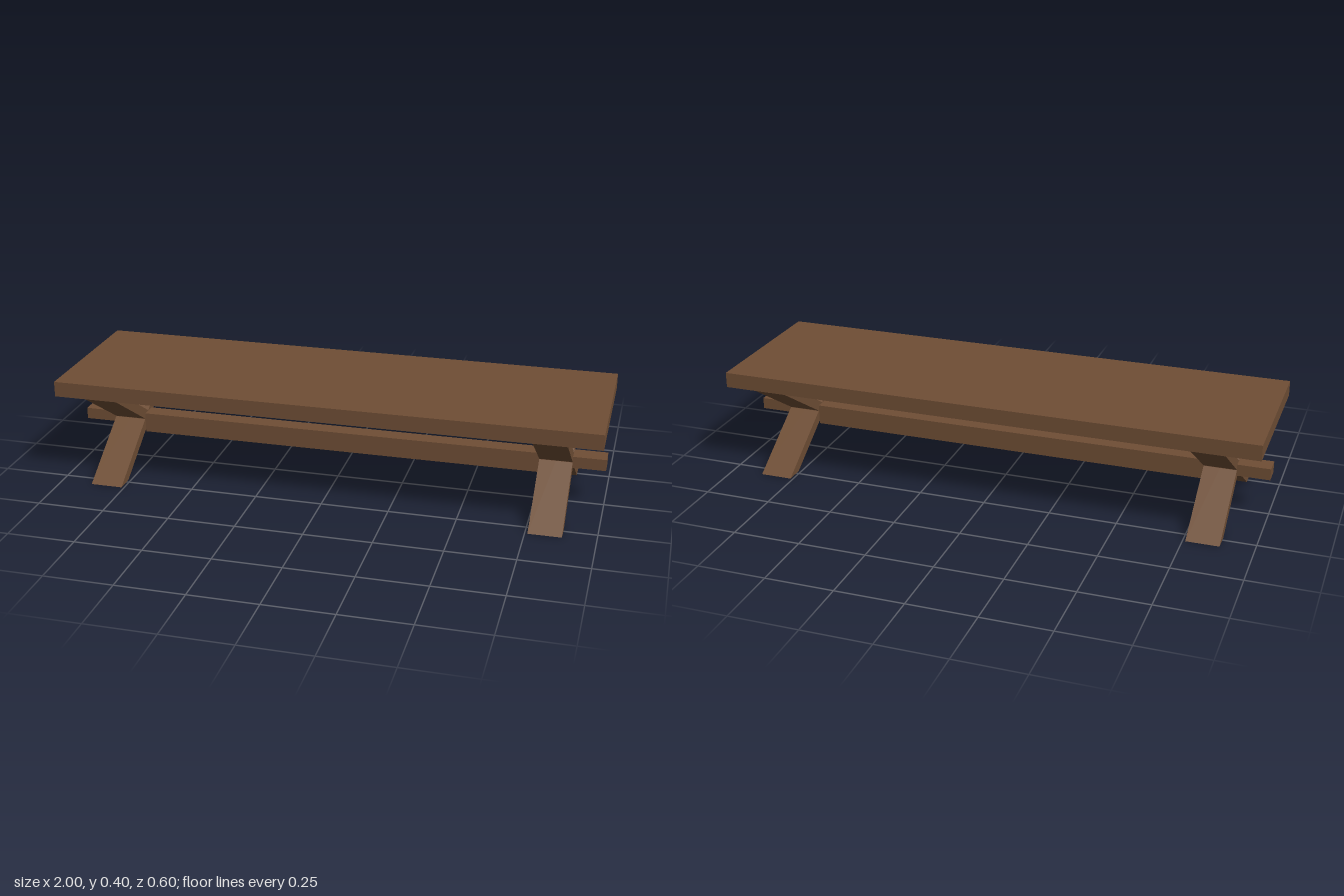
import * as THREE from 'three';

export function createModel() {
  const group = new THREE.Group();
  const wood = new THREE.MeshStandardMaterial({ color: 0x6f4e35 });
  wood.name = 'brown wood';

  const add = (name, geometry, x, y, z = 0) => {
    const mesh = new THREE.Mesh(geometry, wood);
    mesh.name = name;
    mesh.position.set(x, y, z);
    group.add(mesh);
    return mesh;
  };

  const topUnder = 0.343, legWidth = 0.12, legX = 0.82;

  // table top
  add('tableTop', new THREE.BoxGeometry(2, 0.4 - topUnder, 0.6), 0, (0.4 + topUnder) / 2);

  // slanted board with level-cut ends; dir mirrors it to form the X
  const legGeometry = (dir) => {
    const shape = new THREE.Shape([
      [0.3, 0], [0.232, 0], [-0.3, topUnder], [-0.232, topUnder],
    ].map(([a, b]) => new THREE.Vector2(a * dir, b)));
    const g = new THREE.ExtrudeGeometry(shape, { depth: legWidth, bevelEnabled: false });
    g.translate(0, 0, -legWidth / 2);
    g.rotateY(Math.PI / 2);
    return g;
  };

  for (const side of [1, -1]) {
    const end = side > 0 ? 'left' : 'right';
    add(end + 'LegRising', legGeometry(1), side * legX, 0);
    add(end + 'LegFalling', legGeometry(-1), side * legX, 0);
    // tenon through the crossing of the legs
    add(end + 'Tenon', new THREE.BoxGeometry(0.24, 0.043, 0.07), side * 0.88, 0.1715);
  }

  // stretcher between the leg pairs
  add('stretcher', new THREE.BoxGeometry(1.52, 0.075, 0.064), 0, 0.1555);

  return group;
}
